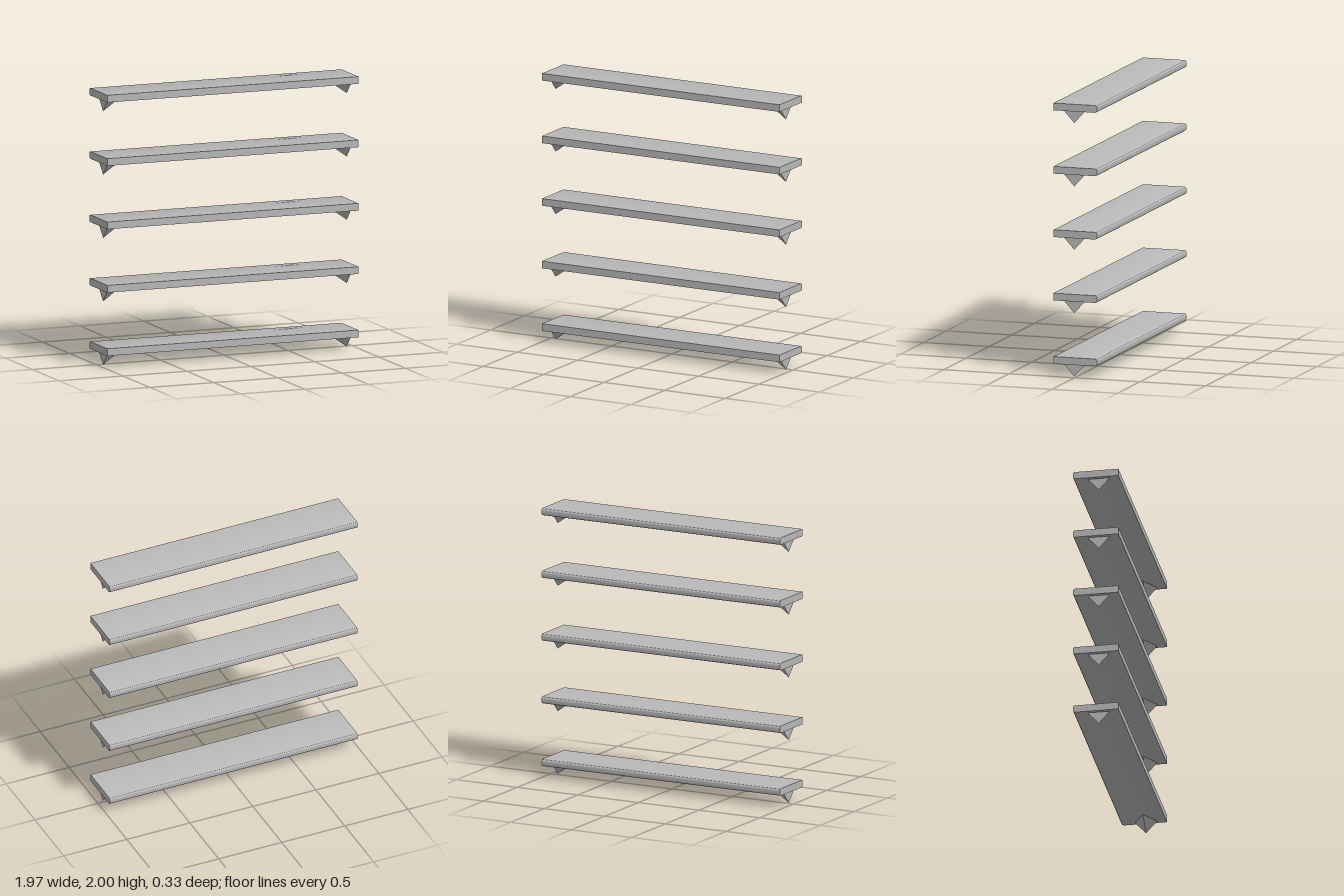
import * as THREE from 'three';
import { toCreasedNormals } from 'three/addons/utils/BufferGeometryUtils.js';

const LENGTH = 1.965, DEPTH = 0.333, THICK = 0.053, DROP = 0.09;
const COUNT = 5, SPACING = 0.4643;

// Board: cross-section with a rounded back edge, extruded along x
function boardGeometry() {
  const h = DEPTH / 2, r = 0.016;
  const s = new THREE.Shape();
  s.moveTo(-h, 0);
  s.lineTo(h - r, 0);
  s.absarc(h - r, r, r, -Math.PI / 2, 0, false);
  s.lineTo(h, THICK - r);
  s.absarc(h - r, THICK - r, r, 0, Math.PI / 2, false);
  s.lineTo(-h, THICK);
  s.closePath();
  const g = new THREE.ExtrudeGeometry(s, { depth: LENGTH, bevelEnabled: false, curveSegments: 6 });
  g.translate(0, 0, -LENGTH / 2);
  g.rotateY(Math.PI / 2);
  return toCreasedNormals(g, 0.6);
}

// Bracket: four-sided point with an upright outer face, tapering inward; side is +1 or -1
function bracketGeometry(side) {
  const outer = 0.953 * side, inner = 0.823 * side, mid = 0.018;
  const front = [outer, 0, 0.1], back = [outer, 0, -0.064];
  const foot = [outer, -DROP, mid], tip = [inner, 0, mid];
  const faces = [[front, foot, back], [front, tip, foot], [back, foot, tip], [front, back, tip]];
  const points = faces.flatMap(([a, b, c]) => (side > 0 ? [a, b, c] : [a, c, b])).flat();
  const g = new THREE.BufferGeometry();
  g.setAttribute('position', new THREE.Float32BufferAttribute(points, 3));
  g.computeVertexNormals();
  return g;
}

export function createModel() {
  const model = new THREE.Group();
  model.name = 'wallShelves';
  const grey = new THREE.MeshStandardMaterial({ color: 0xb8b8b8 });
  grey.name = 'shelf grey';

  const board = boardGeometry();
  const left = bracketGeometry(1), right = bracketGeometry(-1);

  // Stack of identical shelves
  for (let i = 0; i < COUNT; i++) {
    const shelf = new THREE.Group();
    shelf.name = `shelf${i + 1}`;
    for (const [name, geometry] of [['board', board], ['leftBracket', left], ['rightBracket', right]]) {
      const mesh = new THREE.Mesh(geometry, grey);
      mesh.name = name;
      shelf.add(mesh);
    }
    shelf.position.y = DROP + i * SPACING;
    model.add(shelf);
  }
  return model;
}
